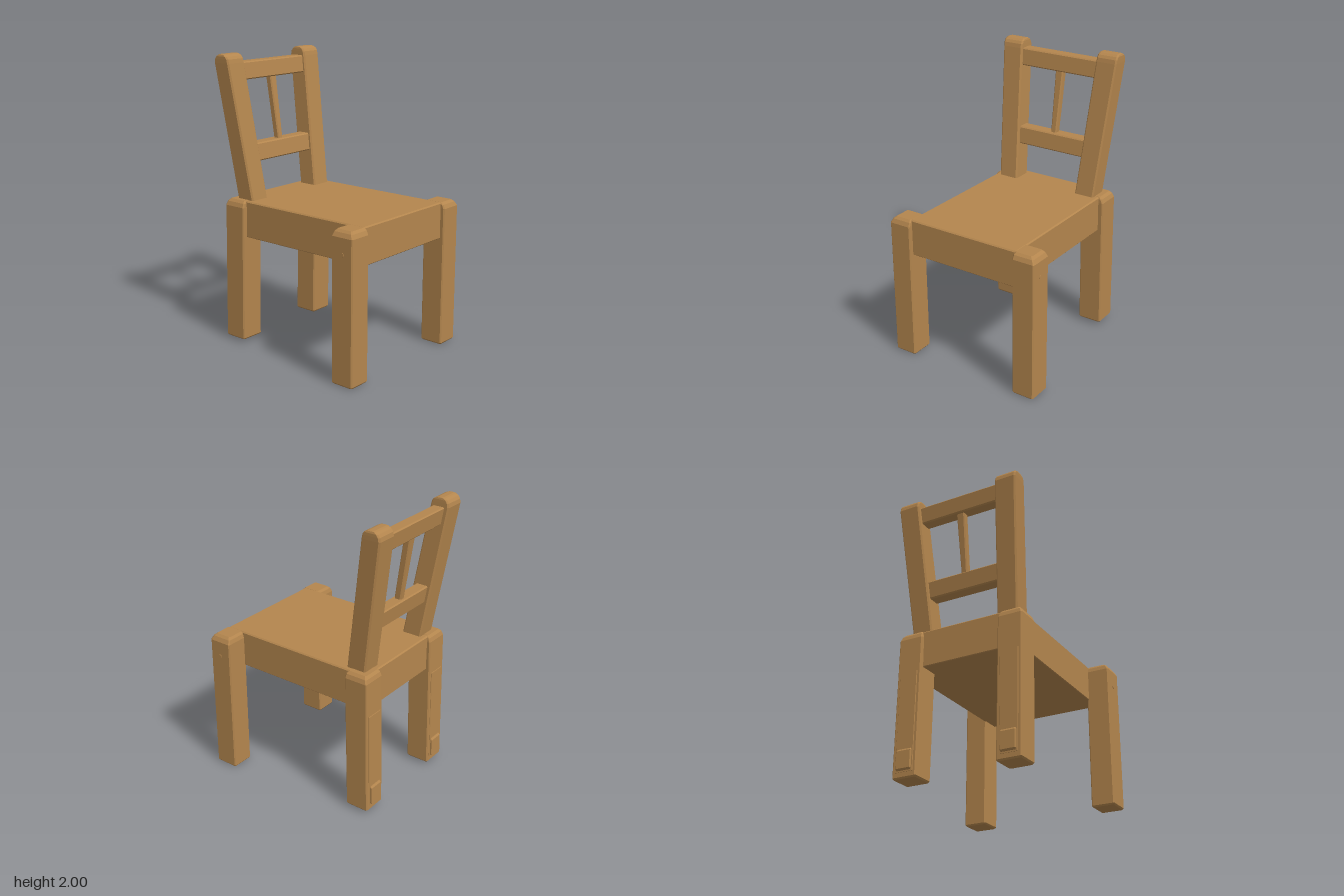
import * as THREE from 'three';

const wood = new THREE.MeshStandardMaterial({ color: 0xb4864e });
wood.name = 'wood';

// Solid lofted through level sections [y, x0, x1, z0, z1], vertical edges bevelled by b
function loft(name, sections, b = 0.008, side = 1) {
  const pos = [], idx = [], n = 8;
  for (const [y, xa, xb, z0, z1] of sections) {
    const x0 = side > 0 ? xa : -xb, x1 = side > 0 ? xb : -xa;
    const ring = [
      [x1, z1 - b], [x1, z0 + b], [x1 - b, z0], [x0 + b, z0],
      [x0, z0 + b], [x0, z1 - b], [x0 + b, z1], [x1 - b, z1],
    ];
    for (const [x, z] of ring) pos.push(x, y, z);
  }
  const top = (sections.length - 1) * n;
  for (let k = 0; k < top; k += n) {
    for (let i = 0; i < n; i++) {
      const j = (i + 1) % n;
      idx.push(k + i, k + j, k + n + j, k + i, k + n + j, k + n + i);
    }
  }
  for (let i = 1; i < n - 1; i++) {
    idx.push(top, top + i, top + i + 1, 0, i + 1, i);
  }
  const indexed = new THREE.BufferGeometry();
  indexed.setAttribute('position', new THREE.Float32BufferAttribute(pos, 3));
  indexed.setIndex(idx);
  const geometry = indexed.toNonIndexed();
  geometry.computeVertexNormals();
  const mesh = new THREE.Mesh(geometry, wood);
  mesh.name = name;
  return mesh;
}

// Depth of the leaning backrest centre line at height y
const backZ = (y) => -0.44 - (y - 1.02) * 0.146;

// Backrest bar following the lean, with softened top and bottom edges
function backBar(name, y0, y1, half0, half1, depth, e = 0.008) {
  const section = (y, half, d) => [y, -half, half, backZ(y) - d / 2, backZ(y) + d / 2];
  return loft(name, [
    section(y0, half0, depth - 2 * e),
    section(y0 + e, half0, depth),
    section(y1 - e, half1, depth),
    section(y1, half1, depth - 2 * e),
  ]);
}

export function createModel() {
  const chair = new THREE.Group();
  chair.name = 'chair';

  // Thick seat block
  chair.add(loft('seat', [
    [0.765, -0.415, 0.415, -0.54, 0.615],
    [0.77, -0.42, 0.42, -0.545, 0.62],
    [1.01, -0.42, 0.42, -0.545, 0.62],
    [1.018, -0.412, 0.412, -0.537, 0.612],
  ], 0.004));

  for (const side of [1, -1]) {
    const label = side > 0 ? 'left' : 'right';

    // Front leg standing outside the seat corner
    chair.add(loft(label + 'FrontLeg', [
      [0, 0.415, 0.562, 0.49, 0.642],
      [0.01, 0.407, 0.57, 0.482, 0.65],
      [0.975, 0.407, 0.57, 0.482, 0.65],
      [1.003, 0.408, 0.555, 0.49, 0.637],
      [1.018, 0.415, 0.537, 0.503, 0.62],
    ], 0.008, side));

    // Dowel end on the outer face of the front leg
    const dowel = new THREE.Mesh(new THREE.CylinderGeometry(0.015, 0.015, 0.006, 16), wood);
    dowel.name = label + 'Dowel';
    dowel.rotation.z = Math.PI / 2;
    dowel.position.set(side * 0.57, 0.865, 0.57);
    chair.add(dowel);

    // Slightly raked rear leg
    chair.add(loft(label + 'RearLeg', [
      [0.02, 0.288, 0.446, -0.58, -0.425],
      [0.03, 0.28, 0.454, -0.588, -0.418],
      [0.975, 0.28, 0.454, -0.569, -0.398],
      [1.003, 0.285, 0.443, -0.56, -0.4],
      [1.02, 0.295, 0.425, -0.545, -0.41],
    ], 0.008, side));

    // Raised panel and foot pad on the back of the rear leg
    chair.add(loft(label + 'RearPanel', [
      [0.06, 0.303, 0.431, -0.591, -0.56],
      [0.735, 0.303, 0.431, -0.58, -0.55],
    ], 0.003, side));
    chair.add(loft(label + 'FootPad', [
      [0.07, 0.318, 0.416, -0.596, -0.56],
      [0.08, 0.313, 0.421, -0.605, -0.56],
      [0.195, 0.313, 0.421, -0.602, -0.56],
      [0.207, 0.318, 0.416, -0.594, -0.56],
    ], 0.004, side));

    // Back post leaning outwards and back, rounded at the top
    chair.add(loft(label + 'BackPost', [
      [1.0, 0.243, 0.389, -0.508, -0.366],
      [1.94, 0.298, 0.452, -0.648, -0.512],
      [1.967, 0.299, 0.453, -0.643, -0.518],
      [1.985, 0.3, 0.453, -0.63, -0.531],
      [1.996, 0.303, 0.449, -0.614, -0.55],
      [2.0, 0.309, 0.443, -0.6, -0.564],
    ], 0.01, side));
  }

  // Rails and centre spindle between the posts
  chair.add(backBar('topRail', 1.82, 1.94, 0.31, 0.315, 0.085));
  chair.add(backBar('lowerRail', 1.267, 1.39, 0.275, 0.28, 0.09));
  chair.add(backBar('spindle', 1.38, 1.83, 0.022, 0.03, 0.05));

  return chair;
}
